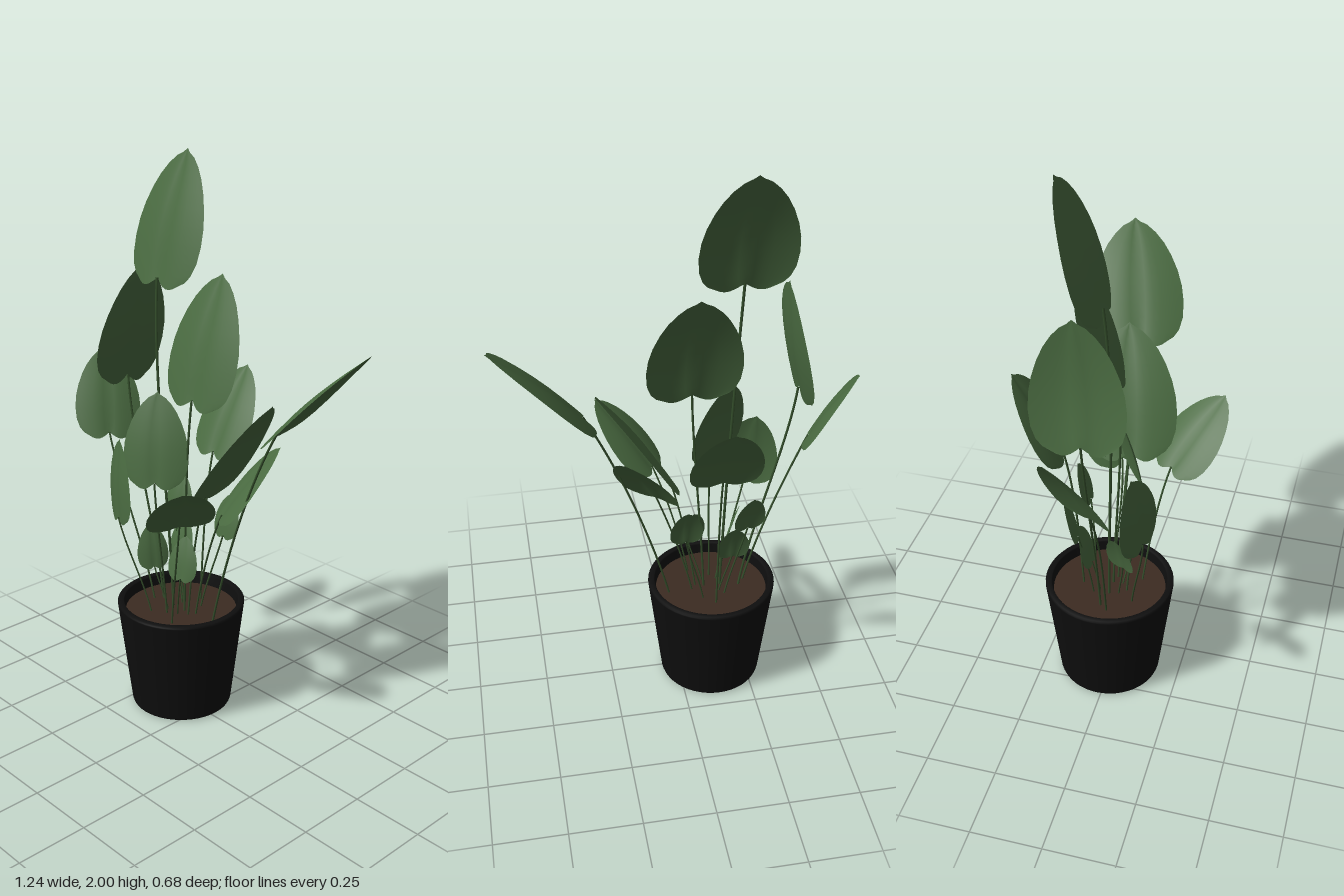
import * as THREE from 'three';

const V = (...a) => new THREE.Vector3(...a);
const POT = { x: -0.124, z: -0.013, soil: 0.37 };
const COLS = 12;

const mat = (color, side = THREE.FrontSide) => new THREE.MeshStandardMaterial({ color, side });
const leafMat = mat(0x4a6b41, THREE.DoubleSide);
const stemMat = mat(0x35502c);
const potMat = mat(0x0e0e0e);
const soilMat = mat(0x3c2b21);

// Half-width of the blade along its length, base to tip
const PROFILE = [
  [0, 0.6], [0.04, 0.76], [0.1, 0.88], [0.2, 0.97], [0.33, 1], [0.46, 0.97], [0.58, 0.89],
  [0.7, 0.76], [0.8, 0.61], [0.88, 0.44], [0.94, 0.26], [0.97, 0.1], [1, 0],
];

// Grown leaves: base x y z, tip x y z, compass direction faced in degrees (0 = front)
const GROWN = [
  [-0.22, 1.555, 0.01, -0.22, 2.0, -0.145, 0],
  [-0.05, 1.16, 0.01, -0.05, 1.605, -0.145, 0],
  [-0.415, 1.165, -0.02, -0.352, 1.61, -0.06, 93],
  [0.3, 1.135, -0.02, 0.625, 1.47, -0.12, -73],
  [0.015, 0.84, 0.02, 0.283, 1.24, -0.05, -76],
  [-0.125, 0.92, -0.16, -0.125, 1.23, -0.345, 0],
  [-0.46, 0.95, 0.03, -0.605, 1.25, -0.08, 60],
  [0.05, 0.795, 0.15, 0.245, 1.02, 0.31, -124],
  [0.07, 0.785, -0.01, 0.205, 1.045, -0.175, -40],
  [-0.135, 0.865, 0.1, -0.19, 1.195, 0.03, 32],
  [-0.275, 0.71, 0.15, -0.305, 1.01, 0.11, -20],
];

// Young leaves share one size and lean: base x y z, direction faced
const YOUNG = [
  [-0.01, 0.655, -0.11, 0],
  [-0.05, 0.525, 0.06, 17],
  [-0.19, 0.525, 0.055, 65],
  [-0.19, 0.525, -0.055, 0],
  [-0.235, 0.67, -0.09, 12],
];

const facing = (degrees) => {
  const a = THREE.MathUtils.degToRad(degrees);
  return V(Math.sin(a), 0, Math.cos(a));
};

// Heart-shaped blade: rows along the midrib, columns across, gently arched with a midrib groove
function leafGeometry(base, tip, face) {
  const axis = tip.clone().sub(base);
  const length = axis.length();
  const width = length * 0.69;
  axis.normalize();
  const across = axis.clone().cross(face).normalize();
  const normal = across.clone().cross(axis);
  const pos = [], idx = [];
  for (const [t, w] of PROFILE) {
    for (let c = 0; c <= COLS; c++) {
      const s = (c / COLS) * 2 - 1, a = Math.abs(s);
      const notch = 0.07 * (1 - Math.sin(Math.PI * a * 0.85));
      const x = s * w * width / 2;
      const y = (t + (1 - t) ** 3 * notch) * length;
      const z = width * (-0.07 * (s * w) ** 2 - 0.02 * Math.max(0, 1 - a * 4) * w
        + 0.05 * Math.sin(Math.PI * t));
      pos.push(...base.clone().addScaledVector(across, x).addScaledVector(axis, y)
        .addScaledVector(normal, z).toArray());
    }
  }
  const n = COLS + 1;
  for (let r = 0; r < PROFILE.length - 1; r++) {
    for (let c = 0; c < COLS; c++) {
      const i = r * n + c;
      idx.push(i, i + 1, i + n, i + 1, i + n + 1, i + n);
    }
  }
  const g = new THREE.BufferGeometry();
  g.setAttribute('position', new THREE.Float32BufferAttribute(pos, 3));
  g.setIndex(idx);
  g.computeVertexNormals();
  return g;
}

// Slender stalk curving from the soil to the notch of the leaf
function stemGeometry(base, tip) {
  const end = base.clone().lerp(tip, 0.07);
  const root = V(POT.x + (end.x - POT.x) * 0.35, POT.soil - 0.01, POT.z + (end.z - POT.z) * 0.6);
  const rise = end.y - root.y;
  const c1 = root.clone().lerp(end, 0.2);
  c1.y += rise * 0.12;
  const c2 = end.clone().lerp(root, 0.2)
    .addScaledVector(tip.clone().sub(base).normalize(), -rise * 0.1);
  const curve = new THREE.CubicBezierCurve3(root, c1, c2, end);
  return new THREE.TubeGeometry(curve, 20, 0.0025 + rise * 0.002, 6);
}

export function createModel() {
  const model = new THREE.Group();
  model.name = 'pottedPlant';
  const add = (parent, name, geo, material) => {
    const m = new THREE.Mesh(geo, material);
    m.name = name;
    parent.add(m);
    return m;
  };

  // Tapered pot with a thin rim and hollow top
  const profile = [
    [0, 0], [0.174, 0], [0.181, 0.004], [0.184, 0.012], [0.231, 0.4], [0.231, 0.405], [0.227, 0.41],
    [0.21, 0.41], [0.207, 0.405], [0.2, 0.35],
  ].map(([r, y]) => new THREE.Vector2(r, y));
  const pot = add(model, 'pot', new THREE.LatheGeometry(profile, 48), potMat);
  pot.position.set(POT.x, 0, POT.z);

  const soil = add(model, 'soil', new THREE.CircleGeometry(0.204, 48), soilMat);
  soil.rotation.x = -Math.PI / 2;
  soil.position.set(POT.x, POT.soil, POT.z);

  // Leaves and their stalks
  const foliage = new THREE.Group();
  foliage.name = 'foliage';
  model.add(foliage);
  const addLeaf = (base, tip, face) => {
    add(foliage, 'leaf', leafGeometry(base, tip, face), leafMat);
    add(foliage, 'stem', stemGeometry(base, tip), stemMat);
  };
  for (const [bx, by, bz, tx, ty, tz, dir] of GROWN) {
    addLeaf(V(bx, by, bz), V(tx, ty, tz), facing(dir));
  }
  for (const [x, y, z, dir] of YOUNG) {
    const base = V(x, y, z), face = facing(dir);
    addLeaf(base, base.clone().addScaledVector(face, -0.05).add(V(0, 0.16, 0)), face);
  }
  return model;
}
